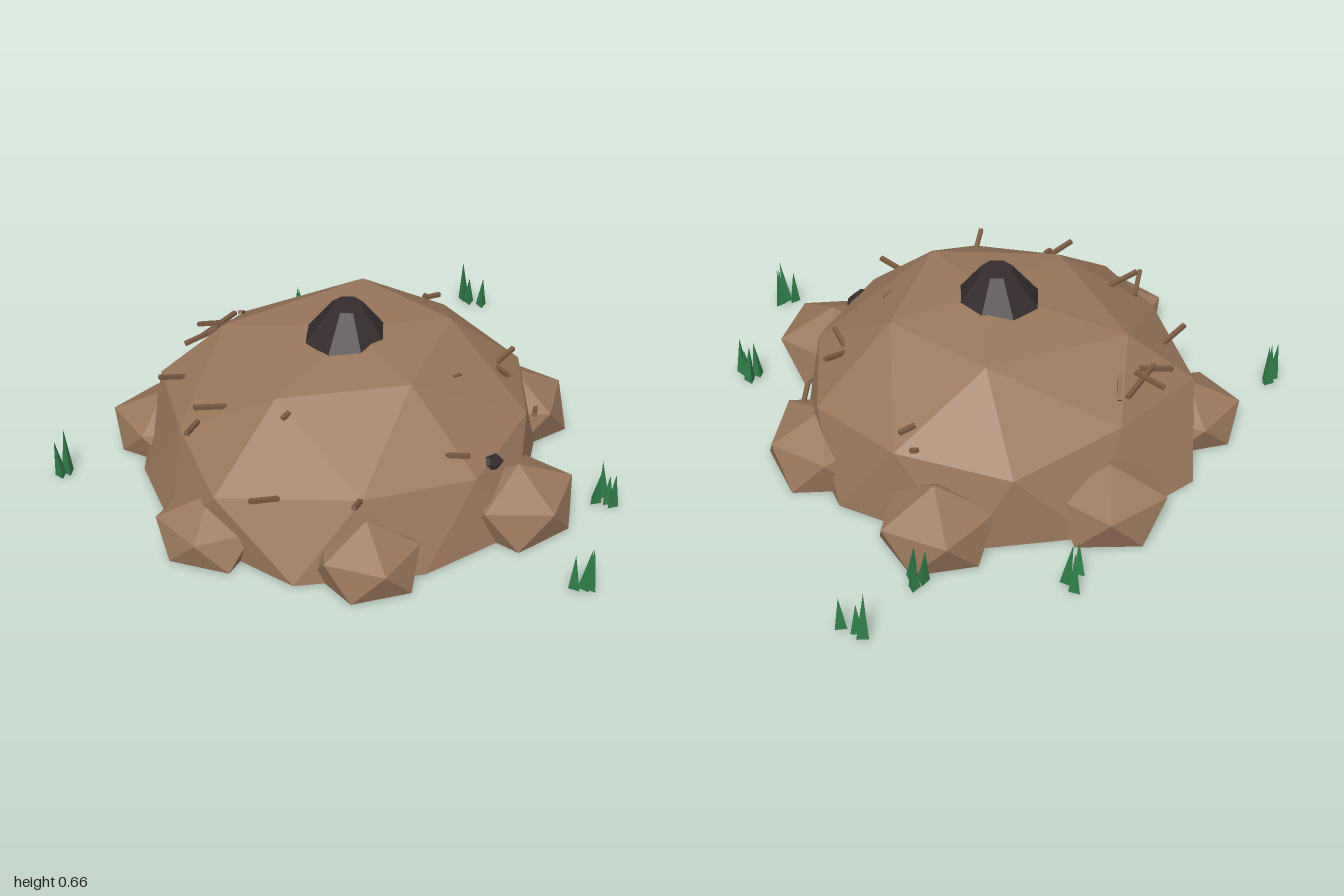
import * as THREE from 'three';

const mat = (name, color, side = THREE.FrontSide) => {
  const m = new THREE.MeshStandardMaterial({ color, side, flatShading: true });
  m.name = name;
  return m;
};

// Open faceted dome: a pole and three rings of [x, y, z]
function moundGeometry() {
  const A = [[0.47, 0.53, -0.01], [0.18, 0.53, 0.34], [-0.27, 0.48, 0.2], [-0.3, 0.47, -0.33], [0.26, 0.53, -0.38]];
  const B = [
    [0.77, 0.27, -0.05], [0.64, 0.29, 0.32], [0.33, 0.27, 0.6], [-0.1, 0.3, 0.62], [-0.55, 0.24, 0.37],
    [-0.57, 0.29, 0.0], [-0.53, 0.26, -0.41], [-0.14, 0.32, -0.62], [0.29, 0.28, -0.69], [0.62, 0.31, -0.43],
  ];
  const C = [
    [0.78, 0, 0.12], [0.48, 0, 0.62], [0.1, 0, 0.72], [-0.35, 0, 0.63], [-0.66, 0, 0.2],
    [-0.67, 0, -0.18], [-0.42, 0, -0.65], [0.03, 0, -0.77], [0.45, 0, -0.66], [0.78, 0, -0.28],
  ];
  const a = k => 1 + (k % 5), b = j => 6 + ((j + 10) % 10), c = j => 16 + ((j + 10) % 10);
  const index = [];
  for (let k = 0; k < 5; k++) {
    index.push(0, a(k + 1), a(k), a(k), a(k + 1), b(2 * k + 1));
    index.push(a(k), b(2 * k + 1), b(2 * k), a(k), b(2 * k), b(2 * k - 1));
  }
  for (let j = 0; j < 10; j++) index.push(b(j), b(j + 1), c(j), b(j), c(j), c(j - 1));
  const g = new THREE.BufferGeometry();
  g.setAttribute('position', new THREE.Float32BufferAttribute([[0.1, 0.565, -0.02], ...A, ...B, ...C].flat(), 3));
  g.setIndex(index);
  const flat = g.toNonIndexed();
  flat.computeVertexNormals();
  return flat;
}

// Boulder shell: icosahedron standing on a corner, one upper corner turned to yaw, open on the ground
function boulderGeometry(r, yaw, y, seed) {
  const ico = new THREE.IcosahedronGeometry(r, 0);
  ico.rotateZ(-Math.atan(2 / (1 + Math.sqrt(5)))).rotateY(-yaw);
  const p = ico.attributes.position, v = new THREE.Vector3(), kept = [];
  for (let i = 0; i < p.count; i += 3) {
    const tri = [];
    for (let j = i; j < i + 3; j++) {
      v.fromBufferAttribute(p, j);
      v.multiplyScalar(1 + 0.05 * Math.sin(v.x * 37 + v.y * 53 + v.z * 71 + seed * 2.3));
      tri.push(v.x, Math.max(0, v.y * 0.8 + y), v.z);
    }
    if (tri[1] + tri[4] + tri[7] > 0) kept.push(...tri);
  }
  const g = new THREE.BufferGeometry();
  g.setAttribute('position', new THREE.Float32BufferAttribute(kept, 3));
  g.computeVertexNormals();
  return g;
}

export function createModel() {
  const root = new THREE.Group();
  root.name = 'earthMound';
  const earth = mat('earth brown', 0x9a775b, THREE.DoubleSide);
  const dark = mat('dark soil', 0x352c2d);
  const wood = mat('twig brown', 0x7a5a42);
  const green = mat('grass green', 0x2f7d48);

  const add = (name, geo, material, parent = root) => {
    const m = new THREE.Mesh(geo, material);
    m.name = name;
    parent.add(m);
    return m;
  };
  const group = name => {
    const g = new THREE.Group();
    g.name = name;
    root.add(g);
    return g;
  };

  add('mound', moundGeometry(), earth);

  // Dark entrance cone on the summit
  add('entrance', new THREE.CylinderGeometry(0.06, 0.158, 0.13, 8), dark).position.set(0.075, 0.593, -0.03);

  // Boulders around the foot: x, z, radius, corner angle in degrees, centre height
  const boulders = group('boulders');
  [
    [-0.07, -0.69, 0.225, -66, 0.06],
    [0.53, -0.57, 0.225, -80, 0.06],
    [0.745, -0.03, 0.23, 0, 0.06],
    [0.52, 0.53, 0.225, 2, 0.06],
    [-0.09, 0.64, 0.21, 90, 0.05],
    [-0.55, 0.3, 0.21, 195, 0.04],
    [-0.54, -0.355, 0.21, 205, 0.04],
  ].forEach(([x, z, r, deg, y], i) => {
    const geo = boulderGeometry(r, THREE.MathUtils.degToRad(deg), y, i);
    add('boulder', geo, earth, boulders).position.set(x, 0, z);
  });

  // Twigs, each from one end point to the other
  const twigs = group('twigs');
  [
    [-0.43, 0.35, -0.43, -0.3, 0.39, -0.43],
    [-0.36, 0.38, -0.42, -0.2, 0.375, -0.54],
    [-0.35, 0.36, -0.53, -0.27, 0.4, -0.45],
    [-0.2, 0.42, -0.47, -0.17, 0.37, -0.54],
    [-0.58, 0.36, -0.23, -0.47, 0.32, -0.26],
    [-0.58, 0.36, 0.14, -0.51, 0.33, 0.04],
    [-0.53, 0.415, 0.07, -0.4, 0.385, 0.06],
    [-0.46, 0.3, 0.5, -0.35, 0.27, 0.48],
    [-0.27, 0.45, 0.28, -0.24, 0.455, 0.26],
    [-0.15, 0.325, 0.68, -0.1, 0.295, 0.61],
    [0.24, 0.34, 0.52, 0.3, 0.37, 0.59],
    [0.37, 0.46, 0.25, 0.41, 0.45, 0.23],
    [0.6, 0.36, 0.08, 0.61, 0.39, 0.21],
    [0.59, 0.36, 0.1, 0.7, 0.39, 0.05],
    [0.73, 0.18, 0.2, 0.77, 0.155, 0.13],
    [0.55, 0.34, -0.48, 0.57, 0.33, -0.46],
    [0.53, 0.38, -0.4, 0.59, 0.375, -0.41],
  ].forEach(([x0, y0, z0, x1, y1, z1]) => {
    const p = new THREE.Vector3(x0, y0, z0), q = new THREE.Vector3(x1, y1, z1);
    const t = add('twig', new THREE.BoxGeometry(0.016, 0.014, p.distanceTo(q)), wood, twigs);
    t.position.copy(p).lerp(q, 0.5);
    t.lookAt(q);
  });

  // Dark clod half sunk in the front slope
  const clod = add('clod', new THREE.DodecahedronGeometry(0.05, 0), dark);
  clod.scale.set(1.1, 0.5, 0.7);
  clod.rotation.set(0.3, 0.3, -0.3);
  clod.position.set(0.42, 0.265, 0.515);

  // Grass tufts: x, z, height of each blade
  const grass = group('grass');
  [
    [[-0.97, -0.24, 0.16], [-0.94, -0.26, 0.185], [-0.94, -0.25, 0.16]],
    [[0.14, -0.91, 0.13], [0.2, -0.93, 0.18], [0.19, -0.98, 0.16]],
    [[0.64, -0.74, 0.15], [0.68, -0.76, 0.13], [0.67, -0.71, 0.14]],
    [[0.91, -0.9, 0.185], [0.92, -0.87, 0.12], [0.96, -0.83, 0.13]],
    [[0.83, 0.54, 0.14], [0.87, 0.52, 0.16], [0.88, 0.58, 0.15], [0.87, 0.56, 0.12]],
    [[0.56, 0.95, 0.14], [0.59, 0.96, 0.18], [0.61, 0.97, 0.15], [0.62, 0.95, 0.16]],
  ].forEach((tuft, i) => tuft.forEach(([x, z, h], j) => {
    const geo = new THREE.ConeGeometry(0.024, h, 3).translate(0, h / 2, 0);
    const blade = add('grassBlade', geo, green, grass);
    blade.position.set(x, 0, z);
    blade.rotation.set(0.1 * Math.sin(i * 2 + j * 3), i * 1.3 + j * 2.1, 0.1 * Math.cos(i + j * 2));
  }));

  return root;
}
